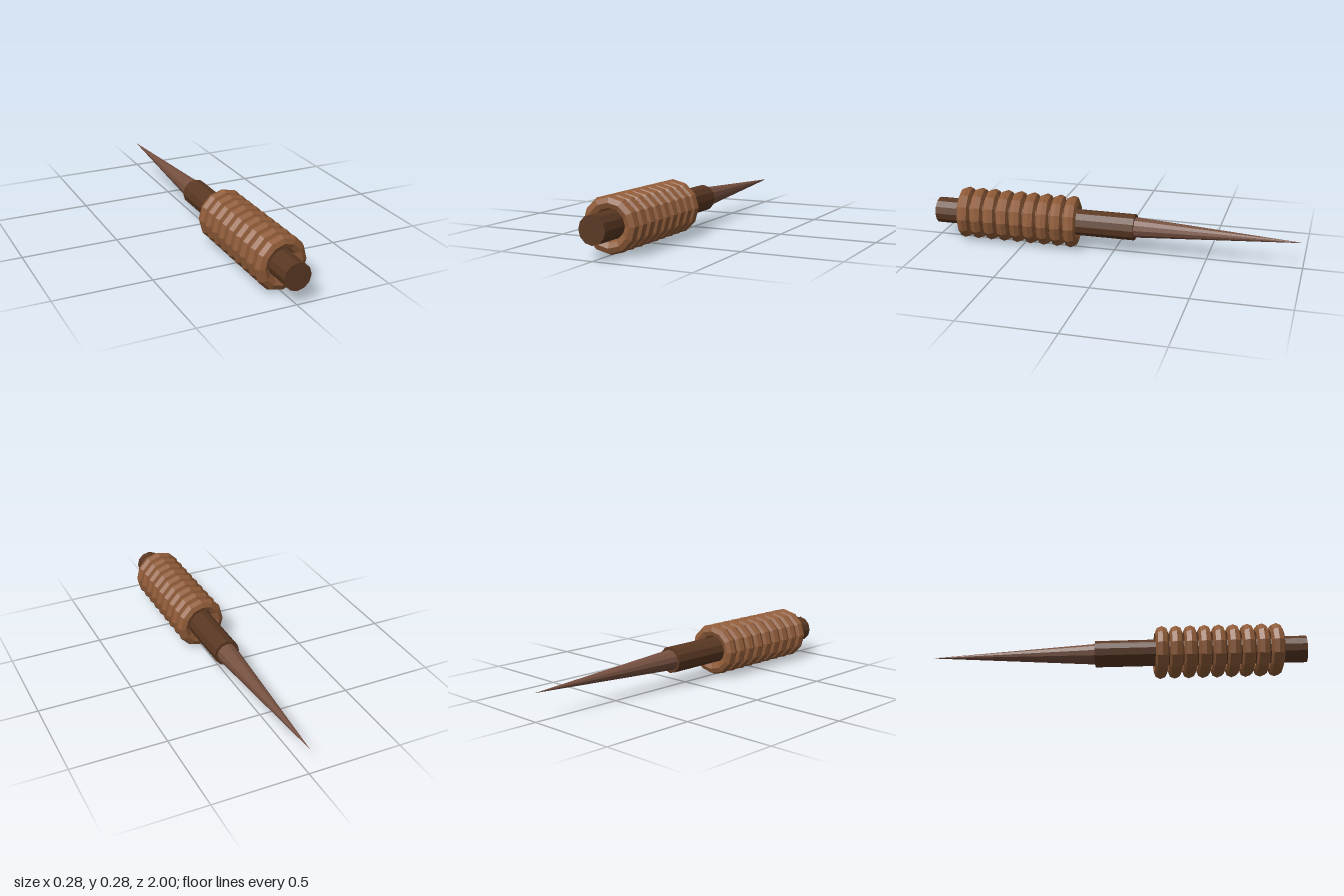
import * as THREE from 'three';

export function createModel() {
  const model = new THREE.Group();
  const axisY = 0.143;

  const makeMaterial = (name, color) => {
    const m = new THREE.MeshStandardMaterial({ color, flatShading: true });
    m.name = name;
    return m;
  };
  const darkWood = makeMaterial('dark wood', 0x5a3823);
  const cord = makeMaterial('brown cord', 0x8f5b38);
  const spikeBrown = makeMaterial('dusty brown', 0x765040);

  const add = (name, geometry, material, z, parent = model) => {
    const mesh = new THREE.Mesh(geometry, material);
    mesh.name = name;
    mesh.position.set(0, axisY, z);
    parent.add(mesh);
    return mesh;
  };

  // Twelve-sided shaft lying along z
  const shaft = new THREE.CylinderGeometry(0.0705, 0.0705, 1.115, 12).rotateX(Math.PI / 2);
  add('shaft', shaft, darkWood, 0.4425);

  // Long spike pointing backwards
  const spike = new THREE.ConeGeometry(0.055, 0.885, 12).rotateX(-Math.PI / 2);
  add('spike', spike, spikeBrown, -0.5575);

  // Grip wrapping: nine slightly slanted coils
  const grip = new THREE.Group();
  grip.name = 'gripWrapping';
  model.add(grip);
  const coil = new THREE.TorusGeometry(0.106, 0.0353, 8, 12);
  for (let i = 0; i < 9; i++) {
    add('coil' + (i + 1), coil, cord, 0.234 + i * 0.0752, grip).rotation.y = 0.1;
  }

  return model;
}
